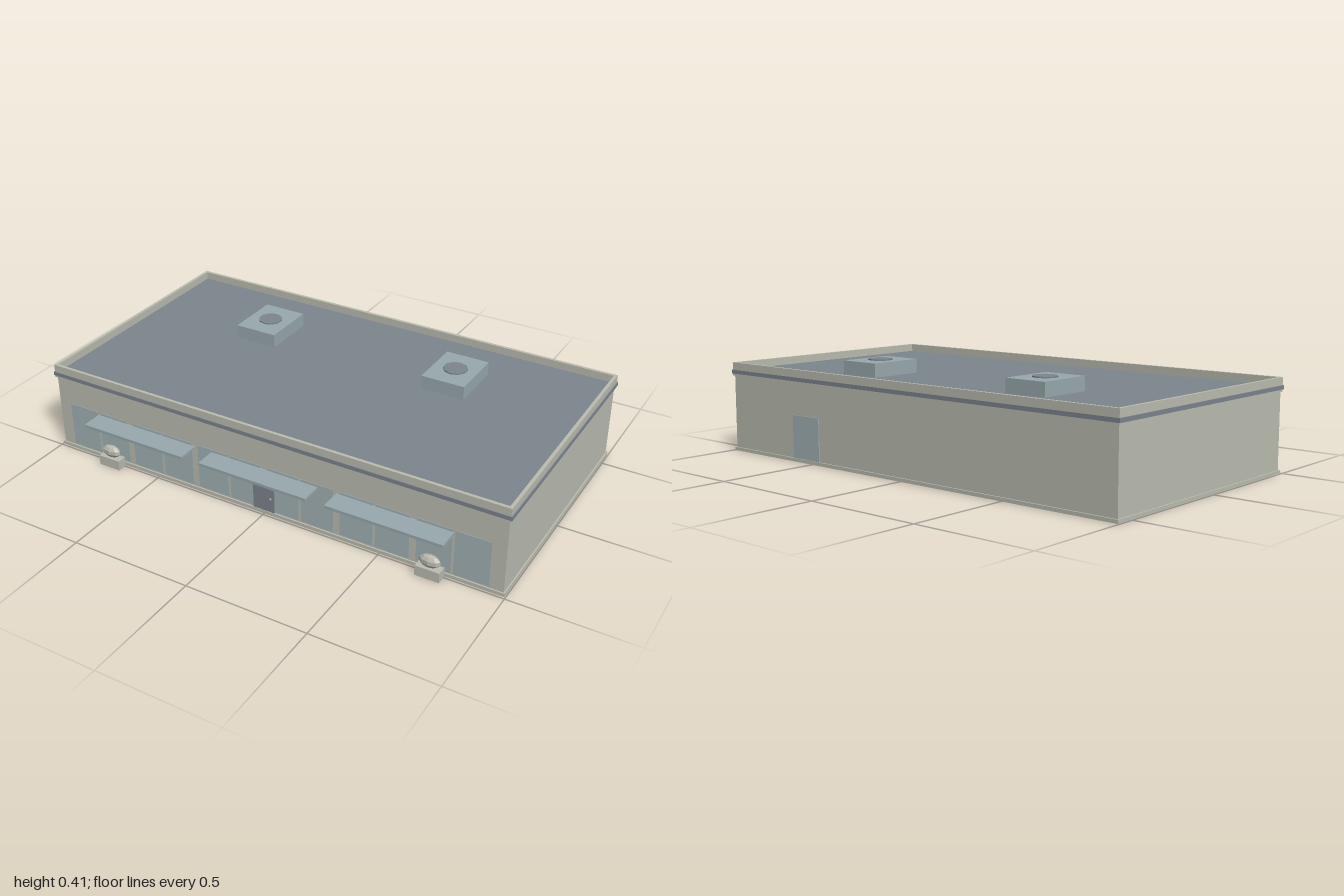
import * as THREE from 'three';

const material = (name, color) => {
  const m = new THREE.MeshStandardMaterial({ color });
  m.name = name;
  return m;
};

export function createModel() {
  const plaster = material('plaster', 0xbabcb0);
  const slate = material('slate', 0x7c848d);
  const glass = material('glass', 0xa1b1b4);
  const metal = material('metal', 0x98a8ad);

  const model = new THREE.Group();
  model.name = 'storeBuilding';

  function add(name, geometry, mat, x = 0, y = 0, z = 0) {
    const mesh = new THREE.Mesh(geometry, mat);
    mesh.name = name;
    mesh.position.set(x, y, z);
    model.add(mesh);
    return mesh;
  }

  // Box given by its limits along each axis
  function block(name, mat, [x0, x1], [y0, y1], [z0, z1]) {
    return add(name, new THREE.BoxGeometry(x1 - x0, y1 - y0, z1 - z0), mat,
      (x0 + x1) / 2, (y0 + y1) / 2, (z0 + z1) / 2);
  }

  // Rectangular ring lying flat, extruded upwards
  const midZ = -0.041;
  function ring(name, mat, halfX, halfZ, thickness, y0, y1) {
    const rect = (P, a, b) => new P([[-a, -b], [a, -b], [a, b], [-a, b]]
      .map(([x, y]) => new THREE.Vector2(x, y)));
    const shape = rect(THREE.Shape, halfX, halfZ);
    shape.holes.push(rect(THREE.Path, halfX - thickness, halfZ - thickness));
    const geometry = new THREE.ExtrudeGeometry(shape, { depth: y1 - y0, bevelEnabled: false });
    geometry.rotateX(-Math.PI / 2);
    add(name, geometry, mat, 0, y0, midZ);
  }

  // Main shell, plinth, parapet and roof
  const front = 0.485, back = -0.567;
  block('walls', plaster, [-0.99, 0.99], [0, 0.335], [back, front]);
  ring('plinth', plaster, 0.996, 0.532, 0.02, 0, 0.014);
  ring('parapet', plaster, 0.996, 0.532, 0.013, 0.319, 0.375);
  ring('corniceBand', slate, 1, 0.535, 0.012, 0.328, 0.344);
  block('roof', slate, [-0.984, 0.984], [0.33, 0.343], [midZ - 0.52, midZ + 0.52]);

  // Six shop windows, each with two panes
  for (let i = 0; i < 6; i++) {
    const centre = (i - 2.5) * 0.316;
    for (const side of [-1, 1]) {
      const x = centre + side * 0.0745;
      block('windowPane', glass, [x - 0.0695, x + 0.0695], [0.02, 0.21], [front - 0.002, front + 0.002]);
    }
  }

  // Front door with knob, and back door
  block('frontDoor', slate, [-0.048, 0.046], [0.015, 0.172], [front, front + 0.005]);
  const knob = add('doorKnob', new THREE.SphereGeometry(0.005, 8, 6), plaster, 0.03, 0.075, front + 0.006);
  knob.scale.z = 0.6;
  block('backDoor', glass, [0.46, 0.615], [0.014, 0.19], [back - 0.003, back + 0.002]);

  // Flat awnings over the windows
  for (const x of [-0.553, 0, 0.553]) {
    block('awning', metal, [x - 0.237, x + 0.237], [0.188, 0.2], [front, 0.575]);
  }

  for (const side of [-1, 1]) {
    // Rooftop air units with round fans
    const x = side * 0.435, z = -0.252;
    block('airUnit', metal, [x - 0.092, x + 0.092], [0.34, 0.4], [z - 0.117, z + 0.117]);
    add('airUnitFan', new THREE.CylinderGeometry(0.05, 0.05, 0.01, 10), slate, x, 0.4, z);

    // Planters with faceted shrubs
    const px = side * 0.716, pz = 0.516;
    block('planter', plaster, [px - 0.049, px + 0.049], [0, 0.042], [pz - 0.021, pz + 0.021]);
    const shrubShape = new THREE.SphereGeometry(1, 8, 5)
      .scale(0.044, 0.026, 0.021).toNonIndexed();
    shrubShape.computeVertexNormals();
    add('shrub', shrubShape, plaster, px, 0.067, pz);
  }

  return model;
}
